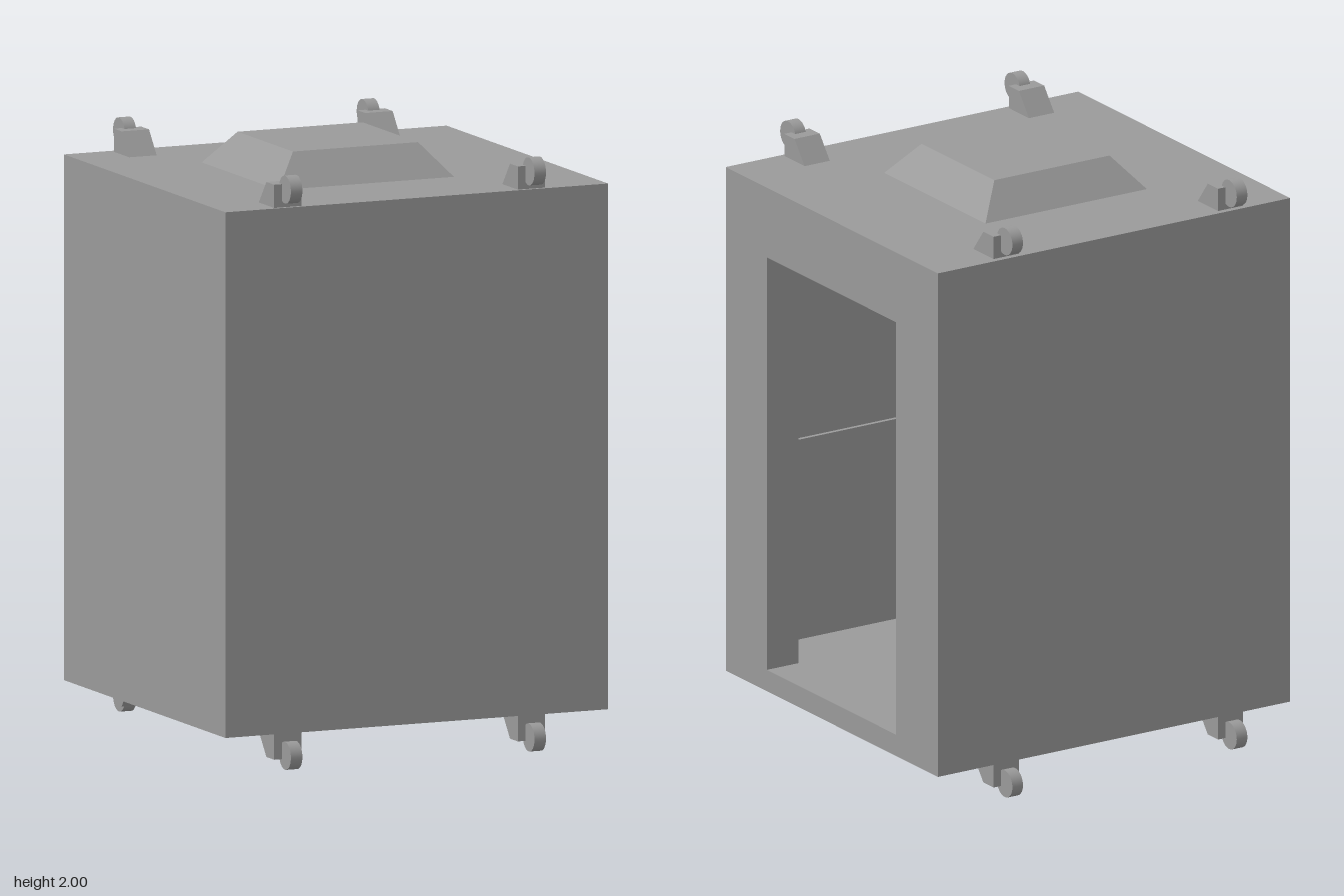
import * as THREE from 'three';

const material = new THREE.MeshStandardMaterial({ color: 0x9a9a9a, flatShading: true });
const smooth = new THREE.MeshStandardMaterial({ color: 0x9a9a9a });

// Overall cabin limits and interior limits
const X0 = -0.7, X1 = 0.698, Z0 = -0.648, Z1 = 0.64, Y0 = 0.12, Y1 = 1.89;
const IN = { x0: -0.655, x1: 0.573, z0: -0.615, z1: 0.605, y0: 0.195, y1: 1.835 };
const MID_X = -0.035, MID_Z = -0.003;

export function createModel() {
  const model = new THREE.Group();
  model.name = 'elevatorCabin';

  const add = (name, geometry, mat = material, parent = model) => {
    const mesh = new THREE.Mesh(geometry, mat);
    mesh.name = name;
    parent.add(mesh);
    return mesh;
  };

  // Box given by its limits on each axis
  const box = (name, x0, x1, y0, y1, z0, z1) =>
    add(name, new THREE.BoxGeometry(x1 - x0, y1 - y0, z1 - z0))
      .position.set((x0 + x1) / 2, (y0 + y1) / 2, (z0 + z1) / 2);

  // Rectangle in the z-y plane with a rectangular hole, extruded along x
  const rect = (target, z0, z1, y0, y1) => {
    target.moveTo(-z1, y0);
    target.lineTo(-z0, y0);
    target.lineTo(-z0, y1);
    target.lineTo(-z1, y1);
    target.closePath();
    return target;
  };
  const frame = (name, x0, x1, hz0, hz1, hy0, hy1) => {
    const shape = rect(new THREE.Shape(), Z0, Z1, Y0, Y1);
    shape.holes.push(rect(new THREE.Path(), hz0, hz1, hy0, hy1));
    const geometry = new THREE.ExtrudeGeometry(shape, { depth: x1 - x0, bevelEnabled: false });
    add(name, geometry.rotateY(Math.PI / 2).translate(x0, 0, 0));
  };

  // Shell: floor, roof and side walls, closed back wall, and the doorway
  frame('cabinShell', IN.x0, IN.x1, IN.z0, IN.z1, IN.y0, IN.y1);
  box('closedWall', X0, IN.x0, Y0, Y1, Z0, Z1);
  frame('doorFrame', IN.x1, X1, -0.393, 0.39, IN.y0, 1.645);

  // Interior lining: two panels on each wall with a narrow seam, plus handrails
  const gap = 0.005, lining = 0.015;
  for (const [a, b] of [[IN.z0, MID_Z - gap], [MID_Z + gap, IN.z1]])
    box('rearLiningPanel', IN.x0, IN.x0 + lining, IN.y0, IN.y1, a, b);
  for (const side of [-1, 1]) {
    const wall = side < 0 ? IN.z0 : IN.z1;
    const span = (a, b) => [Math.min(wall - side * a, wall - side * b), Math.max(wall - side * a, wall - side * b)];
    for (const [a, b] of [[IN.x0 + lining, MID_X - gap], [MID_X + gap, IN.x1]])
      box('sideLiningPanel', a, b, IN.y0, IN.y1, ...span(0, lining));
    box('handrail', IN.x0 + lining, IN.x1, 0.83, 0.903, ...span(lining, lining + 0.014));
  }

  // Ceiling light panels in two columns
  for (const sx of [-1, 1])
    for (let row = -2; row <= 2; row++) {
      const panel = add('ceilingLight', new THREE.BoxGeometry(0.27, 0.01, 0.16));
      panel.position.set(MID_X + sx * 0.247, IN.y1 - 0.005, MID_Z + row * 0.2);
    }

  // Raised roof hatch with sloping sides: a box whose top corners are drawn in
  const hatch = new THREE.BoxGeometry(0.64, 0.11, 0.615);
  const p = hatch.attributes.position;
  for (let i = 0; i < p.count; i++)
    if (p.getY(i) > 0) p.setXYZ(i, p.getX(i) * 0.714, p.getY(i), p.getZ(i) * 0.718);
  hatch.computeVertexNormals();
  add('roofHatch', hatch).position.set(-0.031, 1.945, -0.004);

  // Guide roller: sloped bracket sunk slightly into the cabin, and a wheel, facing +z
  const profile = new THREE.Shape([[-0.15, -0.012], [-0.018, -0.012], [-0.018, 0.078], [-0.08, 0.078]]
    .map(([z, y]) => new THREE.Vector2(z, y)));
  const bracketGeometry = new THREE.ExtrudeGeometry(profile, { depth: 0.1, bevelEnabled: false })
    .rotateY(-Math.PI / 2).translate(0.05, 0, 0);
  const wheelGeometry = new THREE.CylinderGeometry(0.047, 0.047, 0.042, 32).rotateZ(Math.PI / 2);

  const guideRoller = (x, front, top) => {
    const group = new THREE.Group();
    group.name = 'guideRoller';
    add('rollerBracket', bracketGeometry, material, group);
    add('rollerWheel', wheelGeometry, smooth, group).position.set(0, 0.063, 0.005);
    // Half turns about x, y or z carry the part to each edge of the cabin
    if (top && !front) group.rotation.y = Math.PI;
    if (!top && front) group.rotation.z = Math.PI;
    if (!top && !front) group.rotation.x = Math.PI;
    group.position.set(x, top ? Y1 : 0.11, front ? 0.645 : -0.645);
    model.add(group);
  };
  for (const top of [true, false]) {
    for (const x of [-0.466, 0.424]) guideRoller(x, true, top);
    for (const x of [-0.477, 0.413]) guideRoller(x, false, top);
  }

  return model;
}
